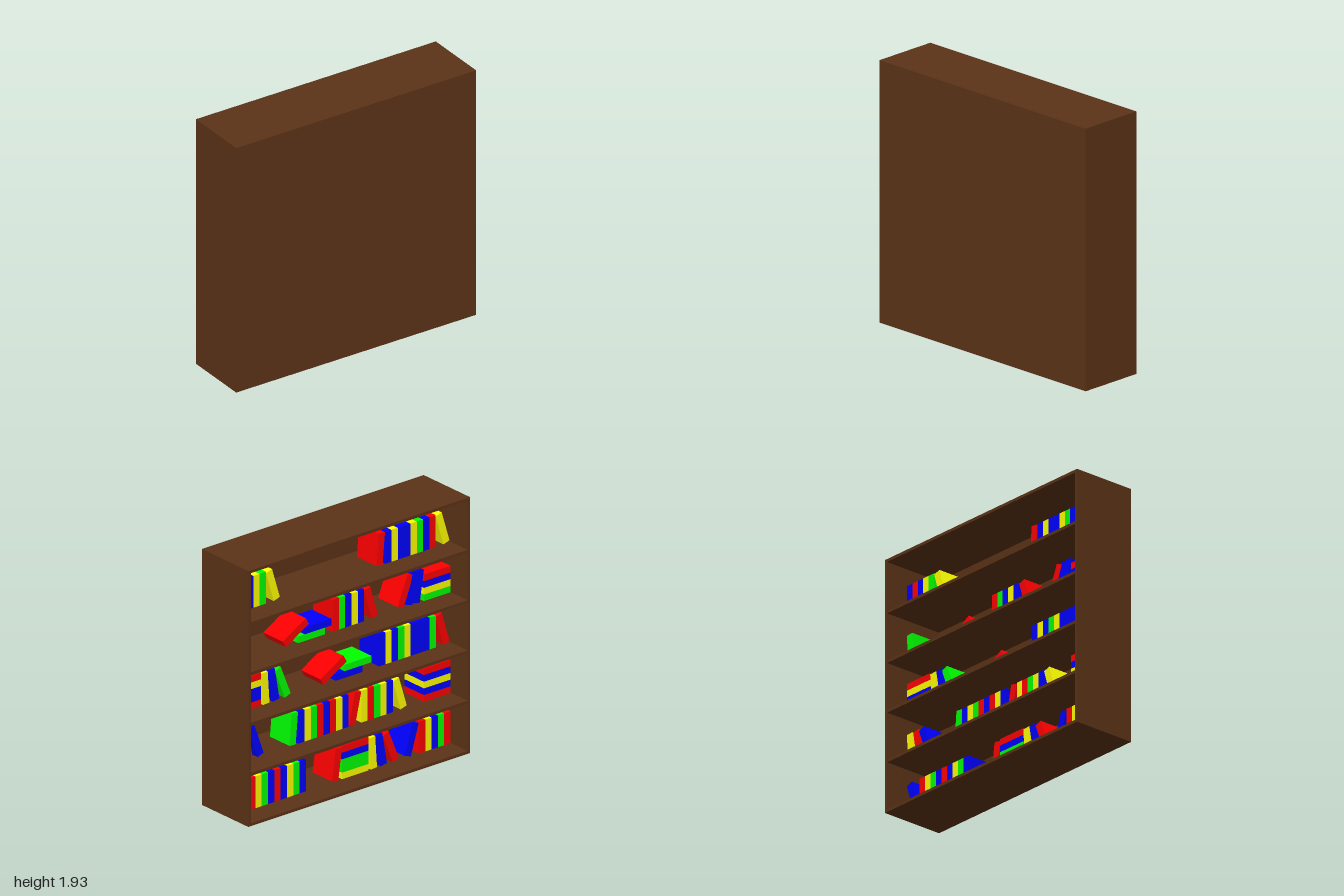
import * as THREE from 'three';

const W = 2, H = 1.93, D = 0.5, T = 0.022;   // case size and board thickness
const PITCH = 0.379;                         // distance between shelves
const BOOK = { t: 0.057, h: 0.24, d: 0.21, z: 0.035 };
const FLAT_T = 0.05;

const material = (color) => new THREE.MeshStandardMaterial({ color });
const wood = material(0x5c3317);
const covers = {
  r: material(0xff0000), g: material(0x00ff00),
  b: material(0x0000ff), y: material(0xffff00),
};

function box(name, w, h, d, x, y, z, mat) {
  const mesh = new THREE.Mesh(new THREE.BoxGeometry(w, h, d), mat);
  mesh.name = name;
  mesh.position.set(x, y, z);
  return mesh;
}

export function createModel() {
  const model = new THREE.Group();
  model.name = 'bookcase';

  // Case: closed on the +z side, open on the -z side
  const frame = new THREE.Group();
  frame.name = 'case';
  model.add(frame);
  for (const s of [1, -1]) {
    frame.add(box(s > 0 ? 'leftSide' : 'rightSide', T, H, D, s * (W - T) / 2, H / 2, 0, wood));
  }
  const inner = W - 2 * T;
  frame.add(box('closedPanel', inner, H, T, 0, H / 2, (D - T) / 2, wood));
  frame.add(box('topBoard', inner, T, D - T, 0, H - T / 2, -T / 2, wood));
  for (let i = 0; i < 5; i++) {
    frame.add(box(i ? 'shelf' : 'bottomBoard', inner, T, D - T, 0, i * PITCH + T / 2, -T / 2, wood));
  }

  // Books: u runs along a shelf from the +x side (u = 0) to the -x side (u = 2)
  let shelf;
  function startShelf(i) {
    shelf = new THREE.Group();
    shelf.name = 'shelfOfBooks';
    shelf.position.set(1, i * PITCH + T, BOOK.z);
    model.add(shelf);
  }

  // Row of upright books starting at u
  function row(u, colors) {
    [...colors].forEach((c, i) => shelf.add(
      box('uprightBook', BOOK.t, BOOK.h, BOOK.d, -u - (i + 0.5) * BOOK.t, BOOK.h / 2, 0, covers[c])));
  }

  // Book resting on its lower corner at u; positive degrees tip its top towards +x
  function lean(u, color, degrees) {
    const pivot = new THREE.Group();
    pivot.name = 'leaningBook';
    pivot.position.x = -u;
    pivot.rotation.z = -THREE.MathUtils.degToRad(degrees);
    pivot.add(box('book', BOOK.t, BOOK.h, BOOK.d,
      -Math.sign(degrees) * BOOK.t / 2, BOOK.h / 2, 0, covers[color]));
    shelf.add(pivot);
  }

  // Flat pile, listed from top to bottom; each higher book is shifted by step
  function pile(u, colors, step = 0) {
    [...colors].reverse().forEach((c, i) => shelf.add(
      box('flatBook', BOOK.h, FLAT_T, BOOK.d, -u - BOOK.h / 2 - i * step, (i + 0.5) * FLAT_T, 0, covers[c])));
  }

  // Top shelf
  startShelf(4);
  row(0.025, 'brbyg');
  lean(0.38, 'y', 17);
  lean(1.362, 'r', -5);
  row(1.385, 'bybbygbr');
  lean(1.911, 'y', 17);

  // Fourth shelf
  startShelf(3);
  lean(0.045, 'g', 5);
  lean(0.49, 'r', -60);
  pile(0.6, 'bg', 0.06);
  row(0.91, 'rgbyb');
  lean(1.265, 'r', 17);
  lean(1.55, 'r', -22);
  lean(1.63, 'b', -15);
  lean(1.697, 'b', -9);
  pile(1.735, 'rbyg');

  // Third shelf
  startShelf(2);
  pile(0.025, 'rybbr');
  lean(0.285, 'y', 4);
  lean(0.375, 'b', 10);
  lean(0.48, 'g', 22);
  lean(0.83, 'r', -60);
  pile(0.94, 'gb', 0.08);
  row(1.33, 'bybgybbbg');
  lean(1.911, 'r', 17);

  // Second shelf
  startShelf(1);
  lean(0.042, 'y', 4);
  lean(0.133, 'r', 10);
  lean(0.235, 'b', 20);
  lean(0.578, 'g', -5);
  row(0.6, 'bygrbryb');
  lean(1.115, 'r', -13);
  row(1.17, 'yrgyb');
  lean(1.525, 'y', 17);
  pile(1.735, 'rbybr');

  // Bottom shelf
  startShelf(0);
  lean(0.095, 'b', 17);
  row(0.157, 'rygbrbygb');
  lean(0.962, 'r', -8);
  pile(0.996, 'rbggy');
  lean(1.255, 'y', 4);
  lean(1.345, 'b', 10);
  lean(1.455, 'r', 22);
  lean(1.617, 'b', -17);
  row(1.69, 'rybgr');

  return model;
}
